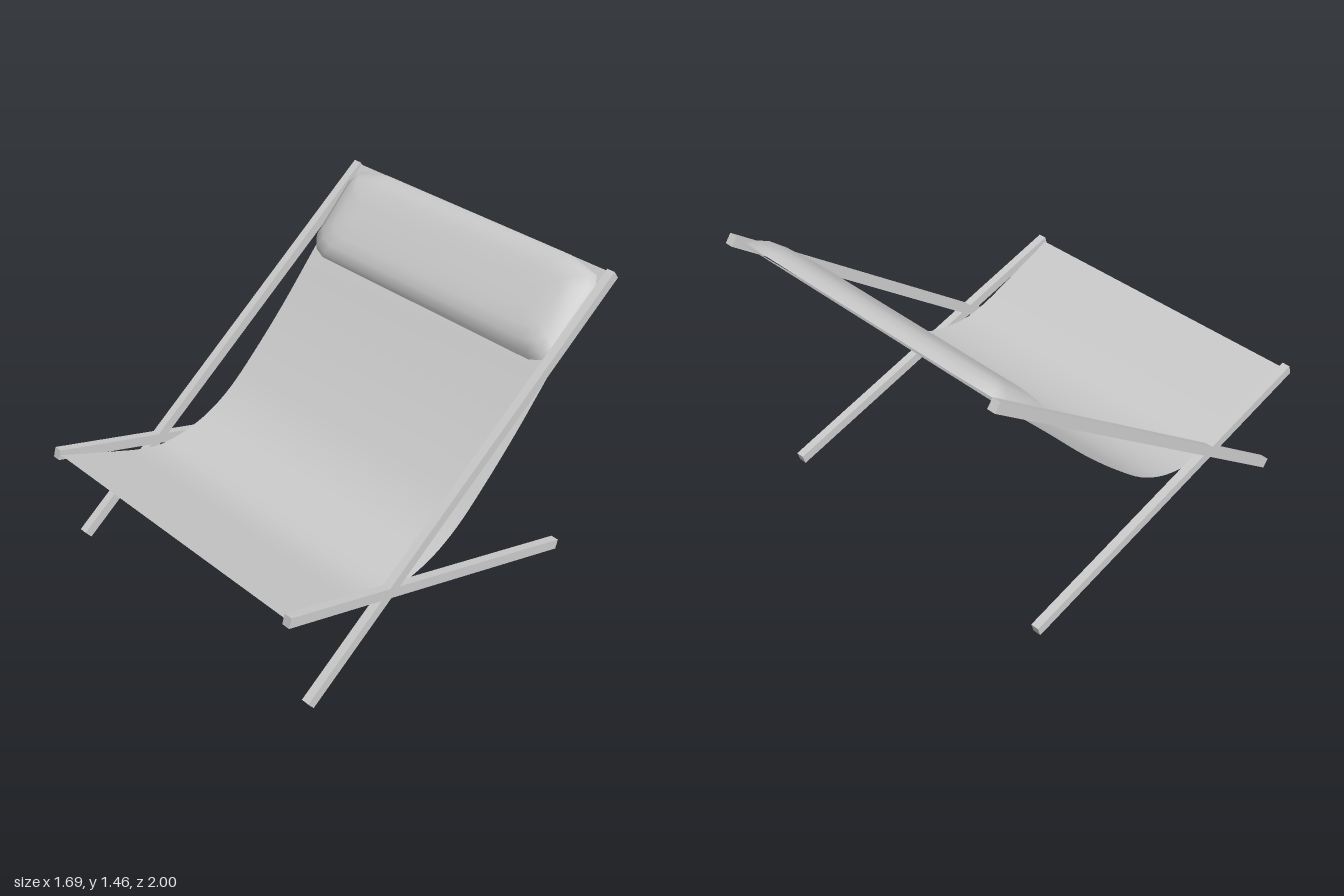
import * as THREE from 'three';

const grey = () => new THREE.MeshStandardMaterial({ color: 0xcccccc });

// Square bar between two side-plane points [z, y]
function bar(name, x, [z0, y0], [z1, y1]) {
  const length = Math.hypot(z1 - z0, y1 - y0);
  const mesh = new THREE.Mesh(new THREE.BoxGeometry(0.042, 0.05, length), grey());
  mesh.name = name;
  mesh.position.set(x, (y0 + y1) / 2, (z0 + z1) / 2);
  mesh.rotation.x = Math.atan2(-(y1 - y0), z1 - z0);
  return mesh;
}

// Thin sling hanging between the bar ends
function createSling() {
  const profile = [
    [0.985, 0.55], [0.7, 0.438], [0.52, 0.371], [0.4, 0.346], [0.25, 0.357], [0.1, 0.4],
    [-0.05, 0.486], [-0.22, 0.635], [-0.42, 0.835], [-0.67, 1.115], [-0.975, 1.452],
  ];
  const curve = new THREE.CatmullRomCurve3(profile.map(([z, y]) => new THREE.Vector3(0, y, z)));
  const rows = 40;
  const geometry = new THREE.PlaneGeometry(1.604, 1, 1, rows);
  const pos = geometry.attributes.position;
  for (let i = 0; i < pos.count; i++) {
    const p = curve.getPoint(0.5 - pos.getY(i) > 1 ? 0 : Math.min(1, Math.max(0, pos.getY(i) + 0.5)));
    pos.setXYZ(i, pos.getX(i), p.y, p.z);
  }
  geometry.computeVertexNormals();
  const material = grey();
  material.side = THREE.DoubleSide;
  const mesh = new THREE.Mesh(geometry, material);
  mesh.name = 'sling';
  return mesh;
}

// Padded headrest: inset copies of a clipped rectangle, rising to a soft crown
function createHeadrest() {
  const half = [[0.69, 0], [0.76, 0.028], [0.8, 0.085], [0.8, 0.42], [0.77, 0.48], [0.6, 0.52]];
  const outline = [...half, ...half.map(([x, v]) => [-x, v]).reverse()];
  const midV = 0.26;
  const rings = [[0, 0], [0.02, 0.03], [0.06, 0.058], [0.12, 0.07], [0.2, 0.073]]; // inset, height
  const n = outline.length;
  const positions = [];
  const index = [];
  for (const [inset, height] of rings) {
    for (const [x, v] of outline) {
      positions.push(x * (1 - inset / 0.8), height, -(v - midV) * (1 - inset / midV));
    }
  }
  for (let r = 0; r < rings.length - 1; r++) {
    for (let i = 0; i < n; i++) {
      const a = r * n + i, b = r * n + (i + 1) % n;
      index.push(a, b, b + n, a, b + n, a + n);
    }
  }
  // Crown cap
  const top = (rings.length - 1) * n;
  for (let i = 1; i < n - 1; i++) index.push(top, top + i, top + i + 1);
  // Flat back with its own vertices to keep the seam crisp
  const back = positions.length / 3;
  positions.push(...positions.slice(0, n * 3));
  for (let i = 1; i < n - 1; i++) index.push(back, back + i + 1, back + i);

  const geometry = new THREE.BufferGeometry();
  geometry.setAttribute('position', new THREE.Float32BufferAttribute(positions, 3));
  geometry.setIndex(index);
  geometry.computeVertexNormals();
  const mesh = new THREE.Mesh(geometry, grey());
  mesh.name = 'headrest';
  mesh.rotation.x = Math.PI / 4;
  mesh.position.set(0, 1.274, -0.784);
  return mesh;
}

export function createModel() {
  const group = new THREE.Group();
  group.name = 'slingChair';
  // Crossed bars on both sides
  for (const [side, x] of [['left', 0.823], ['right', -0.823]]) {
    group.add(bar(side + 'BackBar', x, [0.883, 0.021], [-0.984, 1.446]));
    group.add(bar(side + 'SeatBar', x, [0.993, 0.553], [-0.747, 0.041]));
  }
  group.add(createSling(), createHeadrest());
  return group;
}
